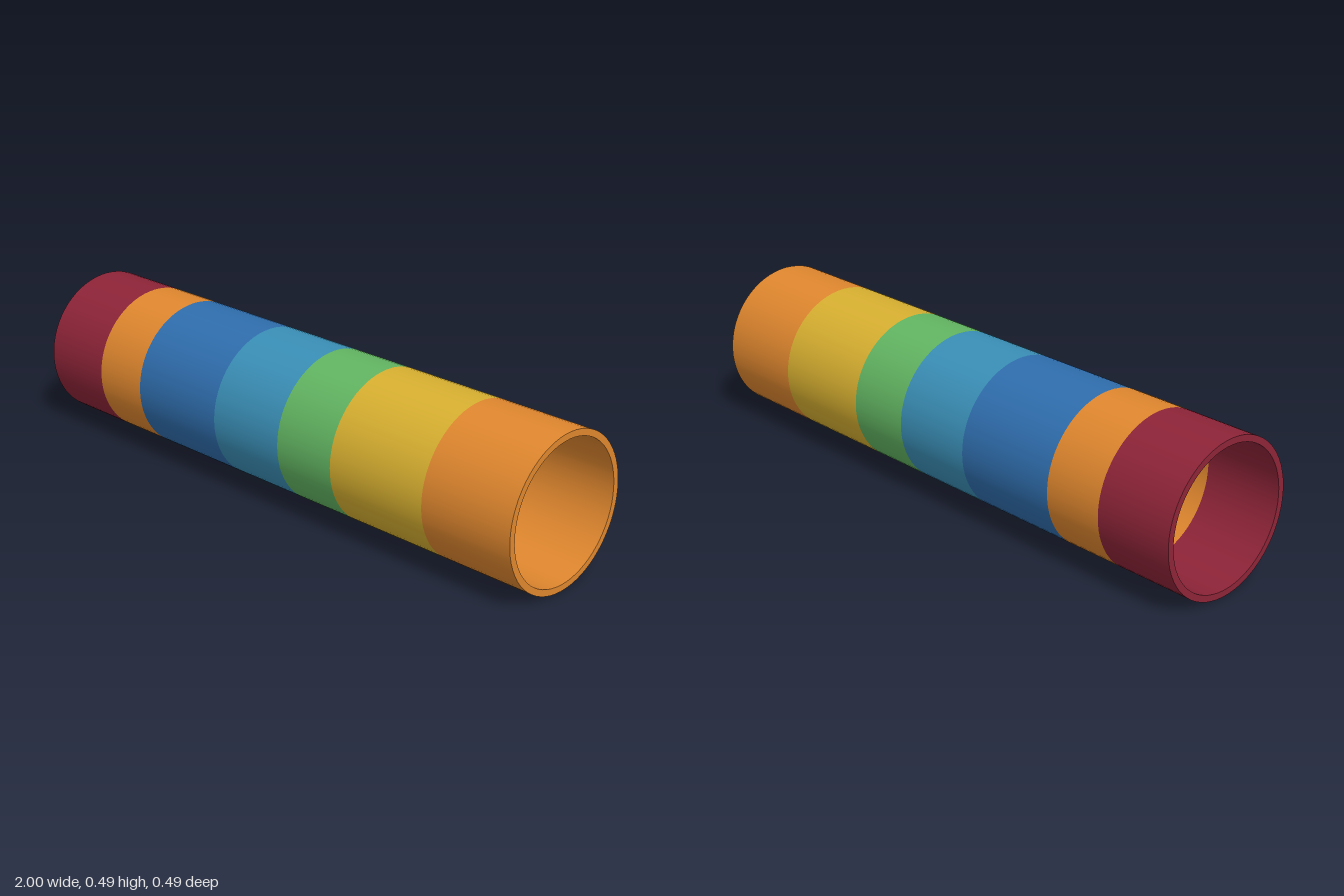
import * as THREE from 'three';
import { mergeGeometries } from 'three/addons/utils/BufferGeometryUtils.js';

const OUTER = 0.245, INNER = 0.224, SIDES = 64;

const material = (name, color) => {
  const m = new THREE.MeshStandardMaterial({ color });
  m.name = name;
  return m;
};

// One wall or rim, swept round the tube axis from a two-point profile
const sweep = (r0, y0, r1, y1) =>
  new THREE.LatheGeometry([new THREE.Vector2(r0, y0), new THREE.Vector2(r1, y1)], SIDES);

// Hollow band from a to b along x; each surface is swept apart to keep rim edges sharp
function bandGeometry(a, b) {
  const parts = [sweep(OUTER, a, OUTER, b), sweep(INNER, b, INNER, a)];
  if (a === -1) parts.push(sweep(INNER, a, OUTER, a));
  if (b === 1) parts.push(sweep(OUTER, b, INNER, b));
  return mergeGeometries(parts).rotateZ(-Math.PI / 2).translate(0, OUTER, 0);
}

export function createModel() {
  const group = new THREE.Group();
  group.name = 'stripedTube';

  const maroon = material('maroon', 0x8e2438);
  const orange = material('orange', 0xe0872e);
  const blue = material('blue', 0x2f6eae);
  const teal = material('teal', 0x3a8fb7);
  const green = material('green', 0x62b562);
  const yellow = material('yellow', 0xd8b030);

  // Bands in order along x: name, start, end, colour
  const bands = [
    ['maroonEndBand', -1, -0.74, maroon],
    ['narrowOrangeBand', -0.74, -0.54, orange],
    ['blueBand', -0.54, -0.18, blue],
    ['tealBand', -0.18, 0.103, teal],
    ['greenBand', 0.103, 0.325, green],
    ['yellowBand', 0.325, 0.683, yellow],
    ['orangeEndBand', 0.683, 1, orange],
  ];
  for (const [name, a, b, mat] of bands) {
    const mesh = new THREE.Mesh(bandGeometry(a, b), mat);
    mesh.name = name;
    group.add(mesh);
  }
  return group;
}
